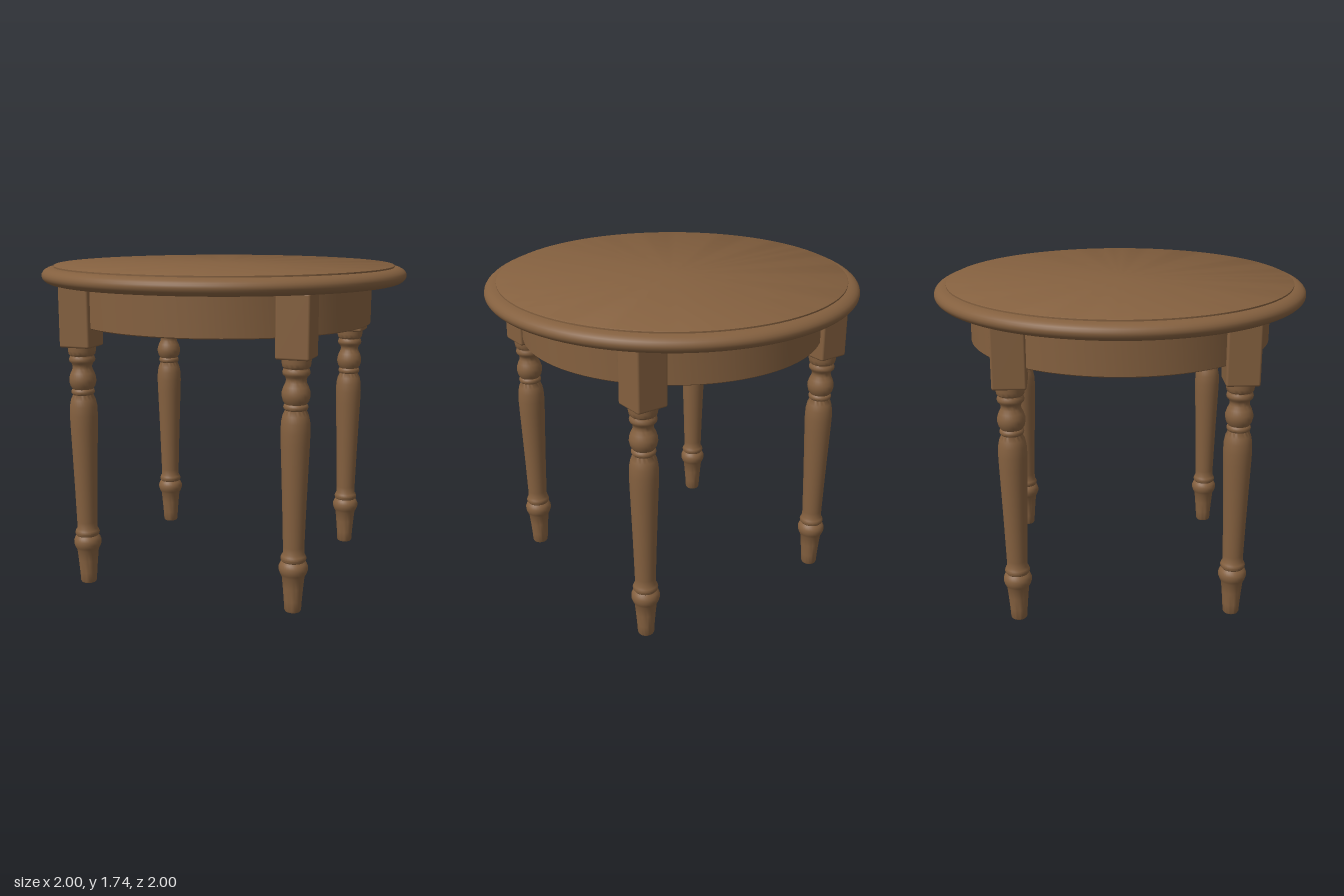
import * as THREE from 'three';
import { toCreasedNormals } from 'three/addons/utils/BufferGeometryUtils.js';
import { RoundedBoxGeometry } from 'three/addons/geometries/RoundedBoxGeometry.js';

const wood = new THREE.MeshStandardMaterial({ color: 0x84603f });
wood.name = 'wood';

// Turned part from [radius, height] pairs, listed bottom to top on the outside
function turned(name, profile, segments, crease = 0.7) {
  const points = profile.map(([r, y]) => new THREE.Vector2(r, y));
  const geometry = toCreasedNormals(new THREE.LatheGeometry(points, segments), crease);
  const mesh = new THREE.Mesh(geometry, wood);
  mesh.name = name;
  return mesh;
}

export function createModel() {
  const table = new THREE.Group();
  table.name = 'roundTable';

  // Round top with a bullnose rim and a fine step around the flat surface
  const rim = [];
  for (let i = 0; i <= 12; i++) {
    const a = -Math.PI / 2 + (i / 12) * Math.PI;
    rim.push([0.935 + 0.065 * Math.cos(a), 1.681 + 0.044 * Math.sin(a)]);
  }
  table.add(turned('tableTop', [
    [0, 1.637], ...rim, [0.935, 1.733], [0.93, 1.736], [0, 1.736],
  ], 96));

  // Hollow ring apron
  table.add(turned('apron', [
    [0.78, 1.64], [0.78, 1.425], [0.785, 1.42], [0.81, 1.42], [0.815, 1.425], [0.815, 1.64],
  ], 96));

  // Turned leg profile: foot, ankle rings, tapered shaft, collar, bulb and neck rings
  const legProfile = [
    [0, 0], [0.04, 0], [0.044, 0.008], [0.047, 0.06], [0.053, 0.13], [0.059, 0.19],
    [0.068, 0.205], [0.075, 0.225], [0.075, 0.245], [0.068, 0.262], [0.059, 0.272],
    [0.065, 0.28], [0.067, 0.29], [0.062, 0.303], [0.055, 0.315], [0.055, 0.35],
    [0.061, 0.55], [0.068, 0.75], [0.073, 0.88], [0.075, 0.95], [0.073, 1.0],
    [0.066, 1.035], [0.054, 1.062], [0.06, 1.068], [0.063, 1.078], [0.06, 1.088],
    [0.055, 1.093], [0.066, 1.11], [0.072, 1.135], [0.071, 1.155], [0.063, 1.18],
    [0.053, 1.2], [0.051, 1.215], [0.056, 1.23], [0.067, 1.24], [0.07, 1.252],
    [0.066, 1.265], [0.062, 1.272], [0.07, 1.28], [0.074, 1.3], [0.074, 1.33],
  ];

  // Four legs, each with a square block at the apron
  for (const x of [-1, 1]) {
    for (const z of [-1, 1]) {
      const leg = new THREE.Group();
      leg.name = (z > 0 ? 'front' : 'back') + (x > 0 ? 'Left' : 'Right') + 'Leg';
      leg.add(turned('turnedLeg', legProfile, 32, 1));
      const block = new THREE.Mesh(new RoundedBoxGeometry(0.174, 0.325, 0.174, 3, 0.012), wood);
      block.name = 'legBlock';
      block.position.y = 1.4825;
      leg.add(block);
      leg.position.set(x * 0.591, 0, z * 0.579);
      table.add(leg);
    }
  }
  return table;
}
